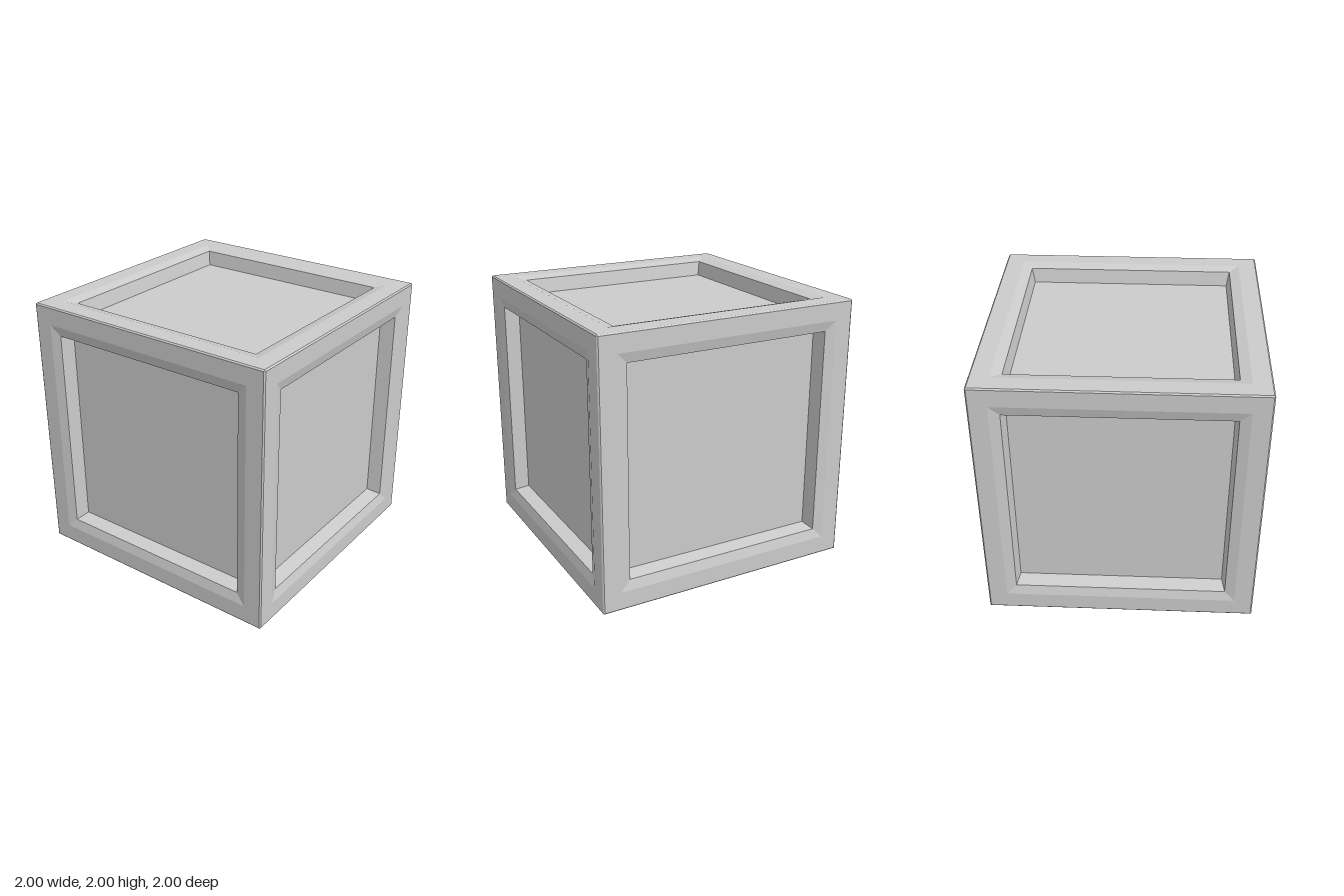
import * as THREE from 'three';

const material = new THREE.MeshStandardMaterial({ color: 0xcccccc, flatShading: true });

// Square ring surface: a four-sided lathe of [half width, height] pairs
function squareRing(profile) {
  const points = profile.map(([half, y]) => new THREE.Vector2(half * Math.SQRT2, y));
  return new THREE.LatheGeometry(points, 4, Math.PI / 4);
}

export function createModel() {
  const crate = new THREE.Group();
  crate.name = 'crate';

  const panelHalf = 0.765, panelLevel = 0.87;

  // Frame section: softened outer edge, flat rail, shallow bevel, steep inner wall
  const frameGeometry = squareRing([
    [0.996, 0.996],
    [0.99, 1],
    [0.86, 1],
    [0.785, 0.98],
    [panelHalf, panelLevel],
  ]);
  const panelGeometry = new THREE.PlaneGeometry(panelHalf * 2, panelHalf * 2);
  panelGeometry.rotateX(-Math.PI / 2).translate(0, panelLevel, 0);

  // The same framed side, turned to each of the six directions
  const q = Math.PI / 2;
  const sides = {
    top: [0, 0, 0],
    bottom: [Math.PI, 0, 0],
    front: [q, 0, 0],
    back: [-q, 0, 0],
    left: [0, 0, -q],
    right: [0, 0, q],
  };
  for (const [name, rotation] of Object.entries(sides)) {
    const side = new THREE.Group();
    side.name = name + 'Side';
    const frame = new THREE.Mesh(frameGeometry, material);
    frame.name = name + 'Frame';
    const panel = new THREE.Mesh(panelGeometry, material);
    panel.name = name + 'Panel';
    side.add(frame, panel);
    side.rotation.set(...rotation);
    side.position.y = 1;
    crate.add(side);
  }
  return crate;
}
